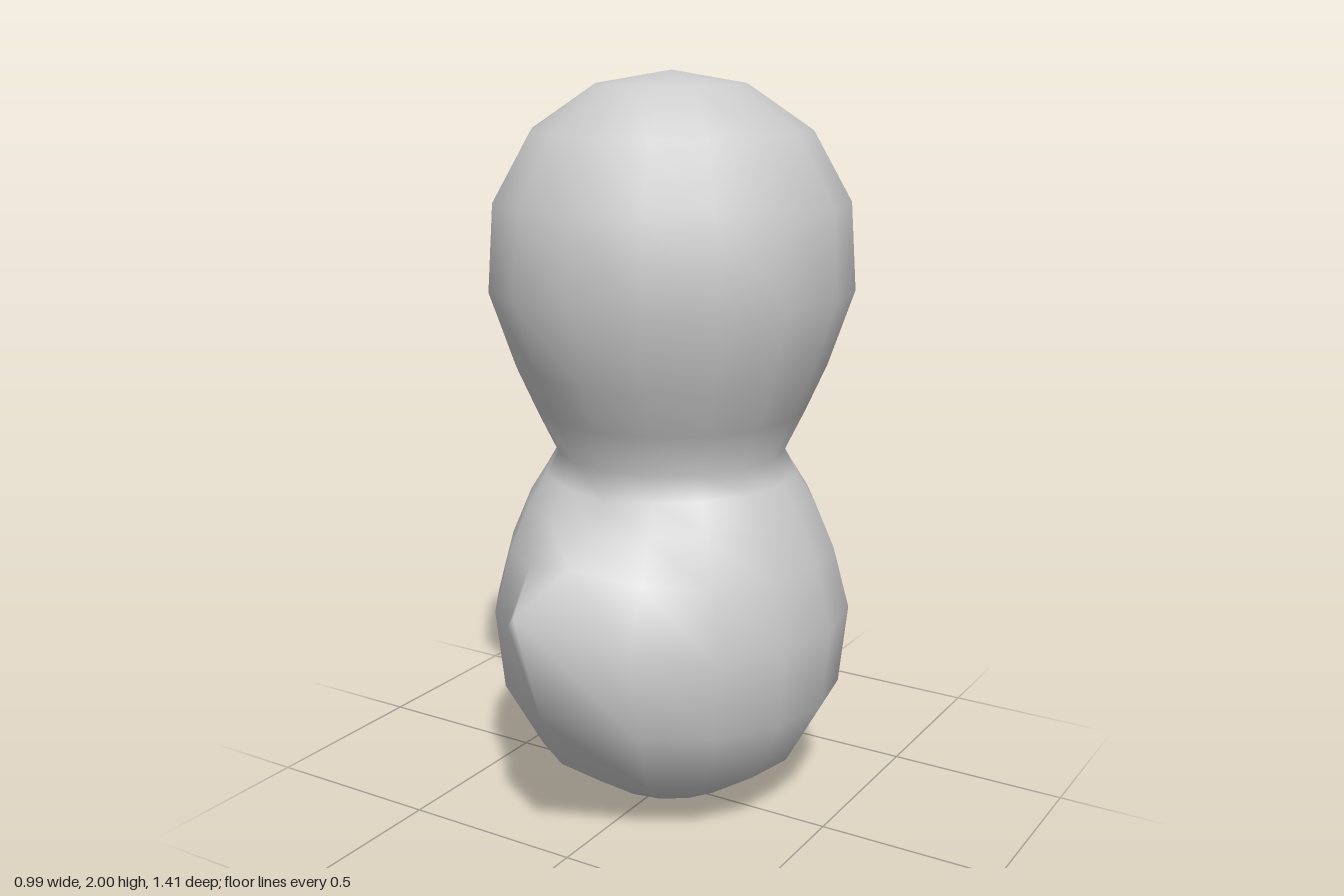
import * as THREE from 'three';
import { mergeVertices } from 'three/addons/utils/BufferGeometryUtils.js';

const material = new THREE.MeshStandardMaterial({ color: 0xcccccc, side: THREE.DoubleSide });
const SIDES = 16;
const AXIS_Z = -0.025;

// Radius and height of each ring, from base to crown
const PROFILE = [
  [0, 0], [0.2, 0.04], [0.37, 0.155], [0.472, 0.34], [0.495, 0.56], [0.45, 0.73],
  [0.395, 0.86], [0.345, 0.94], [0.31, 1.0], [0.365, 1.115], [0.42, 1.24],
  [0.488, 1.44], [0.472, 1.67], [0.37, 1.85], [0.2, 1.965], [0, 2],
];

// Tail: ring index -> [y, z] of its front vertex, and [y, z] of the vertices beside it
const TAIL = {
  3: { mid: [0.425, 0.6], side: [0.35, 0.43] },
  4: { mid: [0.735, 0.705], side: [0.6, 0.48] },
  5: { mid: [0.79, 0.47], side: [0.75, 0.4] },
  6: { mid: [0.845, 0.36], side: [0.86, 0.335] },
  7: { mid: [0.925, 0.305], side: [0.935, 0.285] },
};

// Joins coincident vertices so the shading is smooth throughout
function smooth(geometry) {
  geometry.deleteAttribute('normal');
  geometry.deleteAttribute('uv');
  const merged = mergeVertices(geometry, 1e-4);
  merged.computeVertexNormals();
  return merged;
}

// Turned body and head, with the front vertices pulled out into a tail
function bodyGeometry() {
  const points = PROFILE.map(([r, y]) => new THREE.Vector2(r, y));
  const geometry = new THREE.LatheGeometry(points, SIDES);
  geometry.translate(0, 0, AXIS_Z);
  const pos = geometry.attributes.position;
  for (let i = 0; i <= SIDES; i++) {
    const away = Math.min(i, SIDES - i);
    if (away > 1) continue;
    for (const [ring, { mid, side }] of Object.entries(TAIL)) {
      const k = i * PROFILE.length + Number(ring);
      const [y, z] = away === 0 ? mid : side;
      pos.setXYZ(k, away === 0 ? 0 : pos.getX(k), y, z);
    }
  }
  return smooth(geometry);
}

// Half of the beak: half-elliptical sections [z, half width, height] ending in a point
function beakHalf(sections, baseY, up) {
  const STEPS = 6;
  const positions = [];
  const index = [];
  sections.forEach(([z, w, h]) => {
    for (let j = 0; j <= STEPS; j++) {
      const a = (j / STEPS) * Math.PI;
      positions.push(w * Math.cos(a), baseY + up * h * Math.sin(a), z);
    }
  });
  const row = STEPS + 1;
  const quad = (a, b, c, d) => (up > 0 ? index.push(a, c, b, b, c, d) : index.push(a, b, c, b, d, c));
  for (let i = 0; i < sections.length - 1; i++) {
    for (let j = 0; j < STEPS; j++) {
      const a = i * row + j;
      quad(a, a + 1, a + row, a + row + 1);
    }
  }
  const geometry = new THREE.BufferGeometry();
  geometry.setAttribute('position', new THREE.Float32BufferAttribute(positions, 3));
  geometry.setIndex(index);
  return smooth(geometry);
}

function addPart(parent, name, geometry) {
  const mesh = new THREE.Mesh(geometry, material);
  mesh.name = name;
  parent.add(mesh);
}

export function createModel() {
  const model = new THREE.Group();
  model.name = 'duck';
  addPart(model, 'bodyHeadAndTail', bodyGeometry());

  const beak = new THREE.Group();
  beak.name = 'beak';
  addPart(beak, 'upperBeak', beakHalf([
    [-0.46, 0.08, 0.07], [-0.5, 0.093, 0.08], [-0.54, 0.1, 0.085], [-0.6, 0.085, 0.07], [-0.705, 0, 0],
  ], 1.445, 1));
  addPart(beak, 'lowerBeak', beakHalf([
    [-0.46, 0.07, 0.04], [-0.5, 0.085, 0.045], [-0.55, 0.092, 0.052], [-0.6, 0.078, 0.042], [-0.695, 0, 0],
  ], 1.44, -1));
  model.add(beak);
  return model;
}
